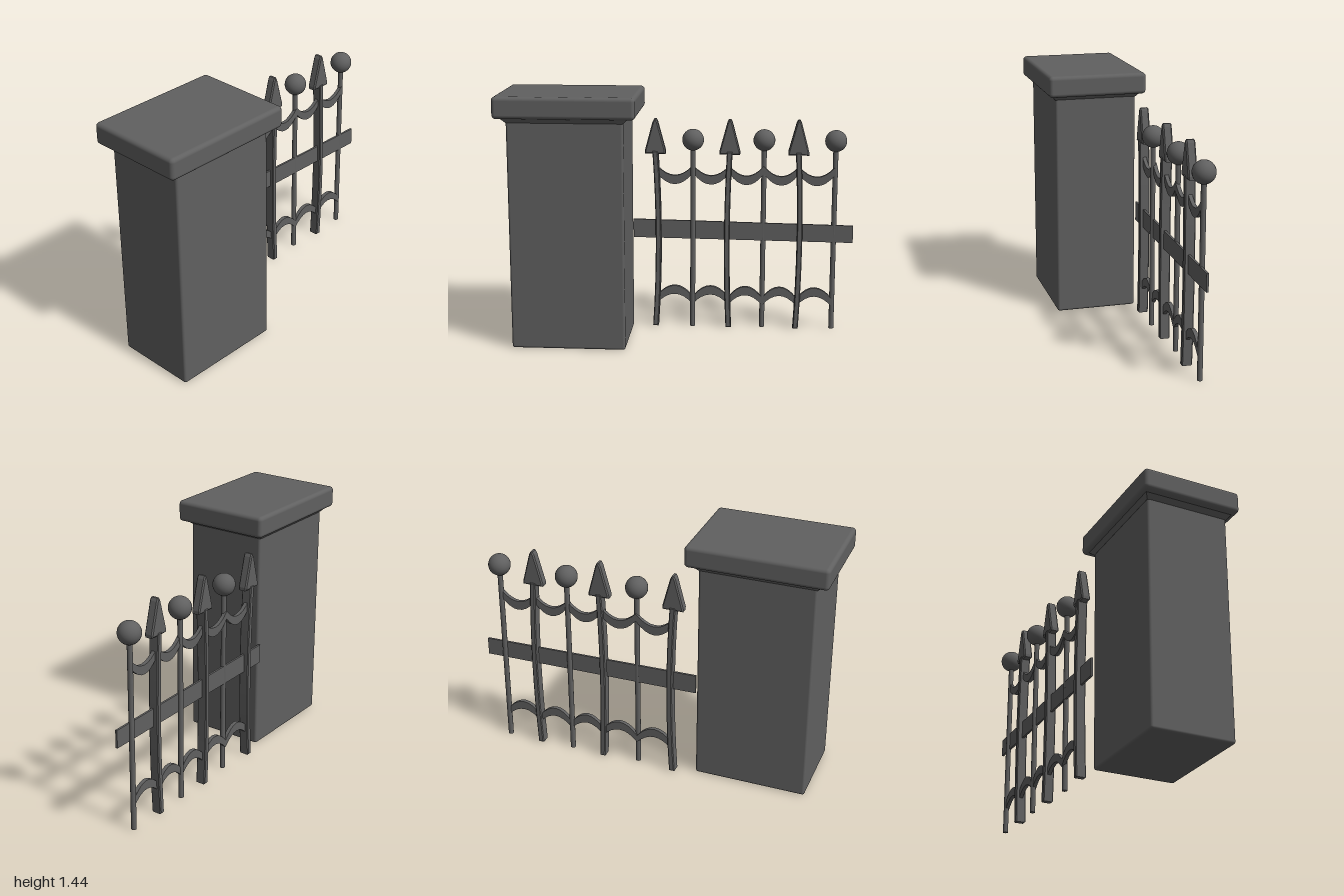
import * as THREE from 'three';
import { RoundedBoxGeometry } from 'three/addons/geometries/RoundedBoxGeometry.js';

const FENCE_Z = -0.236;

export function createModel() {
  const model = new THREE.Group();
  const gray = new THREE.MeshStandardMaterial({ color: 0x606060 });
  gray.name = 'dark gray';

  const add = (name, geometry, x = 0, y = 0, z = 0) => {
    const mesh = new THREE.Mesh(geometry, gray);
    mesh.name = name;
    mesh.position.set(x, y, z);
    model.add(mesh);
    return mesh;
  };

  // Extrude an outline so that its full depth, bevel included, is centred on z = 0
  const slab = (shape, depth, bevel = 0) => {
    const g = new THREE.ExtrudeGeometry(shape, {
      depth: depth - 2 * bevel, curveSegments: 8, bevelEnabled: bevel > 0,
      bevelThickness: bevel, bevelSize: bevel, bevelOffset: -bevel, bevelSegments: 1,
    });
    return g.translate(0, 0, -depth / 2 + bevel);
  };
  const polygon = (points) => new THREE.Shape(points.map(([x, y]) => new THREE.Vector2(x, y)));

  // Stone pillar: shaft, flared neck and cap
  const px = -0.609, pz = 0.016;
  add('pillarShaft', new RoundedBoxGeometry(0.645, 1.31, 0.475, 3, 0.014), px, 0.655, pz);
  const neck = new THREE.CylinderGeometry(Math.SQRT1_2, 0.635, 0.035, 4).toNonIndexed();
  neck.rotateY(Math.PI / 4).scale(0.715, 1, 0.53).computeVertexNormals();
  add('pillarNeck', neck, px, 1.306, pz);
  add('pillarCap', new RoundedBoxGeometry(0.782, 0.122, 0.57, 4, 0.022), px, 1.375, pz);

  // Bars with ball finials
  const balls = [[0.064, -0.226], [0.476, -0.24], [0.888, -0.24]];
  for (const [x, z] of balls) {
    add('ballBar', new THREE.CylinderGeometry(0.015, 0.015, 1.1, 12), x, 0.55, z);
    add('ballFinial', new THREE.SphereGeometry(0.063, 24, 16), x, 1.127, z);
  }

  // Bowed bars with spear finials
  const spears = [[-0.156, 0.018], [0.277, -0.013], [0.675, 0.015]];
  for (const [x, bow] of spears) {
    const w = 0.016;
    const bar = new THREE.Shape();
    bar.moveTo(-w, 0);
    bar.lineTo(w, 0);
    bar.quadraticCurveTo(w + 2 * bow, 0.53, w, 1.06);
    bar.lineTo(-w, 1.06);
    bar.quadraticCurveTo(-w + 2 * bow, 0.53, -w, 0);
    add('spearBar', slab(bar, 0.06, 0.005), x, 0, FENCE_Z);
    const head = polygon([
      [-0.06, 1.043], [0.06, 1.043], [0.06, 1.062], [0.015, 1.23],
      [0.006, 1.247], [-0.006, 1.247], [-0.015, 1.23], [-0.06, 1.062],
    ]);
    add('spearFinial', slab(head, 0.052, 0.007), x, 0, FENCE_Z);
  }

  // Flat middle rail
  const rail = polygon([[-0.286, 0.54], [1, 0.527], [1, 0.629], [-0.286, 0.65]]);
  add('middleRail', slab(rail, 0.012), 0, 0, -0.232);

  // Hanging swags above and arches below, between neighbouring bars
  const arc = (x0, x1, outerEnd, outerMid, innerEnd, innerMid) => {
    const mid = (x0 + x1) / 2;
    const s = new THREE.Shape();
    s.moveTo(x0, outerEnd);
    s.quadraticCurveTo(mid, 2 * outerMid - outerEnd, x1, outerEnd);
    s.lineTo(x1, innerEnd);
    s.quadraticCurveTo(mid, 2 * innerMid - innerEnd, x0, innerEnd);
    return slab(s, 0.022);
  };
  const bars = [-0.15, 0.064, 0.275, 0.476, 0.679, 0.888];
  for (let i = 0; i < bars.length - 1; i++) {
    add('upperSwag', arc(bars[i], bars[i + 1], 0.93, 0.863, 0.975, 0.915), 0, 0, FENCE_Z);
    add('lowerArch', arc(bars[i], bars[i + 1], 0.18, 0.247, 0.135, 0.195), 0, 0, FENCE_Z);
  }

  return model;
}
